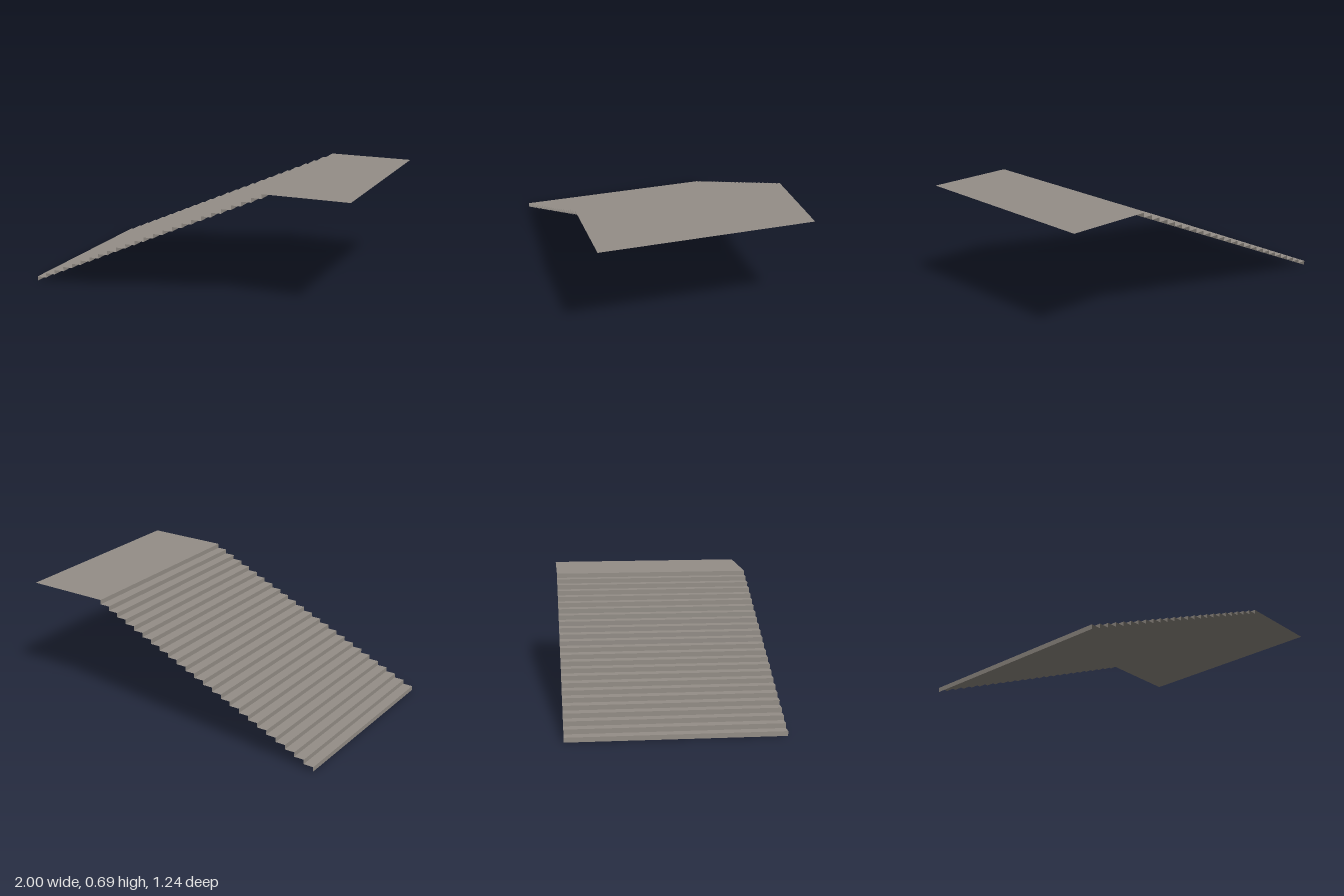
import * as THREE from 'three';

const STEPS = 25, RISE = 0.69 / STEPS, START = -1, LANDING_X = 0.483, END = 1, WIDTH = 1.24;
const RUN = (LANDING_X - START) / (STEPS - 1);

export function createModel() {
  const group = new THREE.Group();
  group.name = 'staircase';
  const stone = new THREE.MeshStandardMaterial({ color: 0x948e87, side: THREE.DoubleSide });
  stone.name = 'warm grey stone';

  const add = (name, geometry, x, y) => {
    const mesh = new THREE.Mesh(geometry, stone);
    mesh.name = name;
    mesh.position.set(x, y, 0);
    group.add(mesh);
  };

  // Thin sheets: risers face the foot of the stairs, treads face up
  const riser = new THREE.PlaneGeometry(WIDTH, RISE).rotateY(-Math.PI / 2);
  const tread = new THREE.PlaneGeometry(RUN, WIDTH).rotateX(-Math.PI / 2);
  const landing = new THREE.PlaneGeometry(END - LANDING_X, WIDTH).rotateX(-Math.PI / 2);

  for (let i = 0; i < STEPS; i++) {
    const x = START + i * RUN;
    add(`riser${i + 1}`, riser, x, (i + 0.5) * RISE);
    if (i < STEPS - 1) add(`tread${i + 1}`, tread, x + RUN / 2, (i + 1) * RISE);
  }

  // Upper landing
  add('landing', landing, (LANDING_X + END) / 2, STEPS * RISE);
  return group;
}
